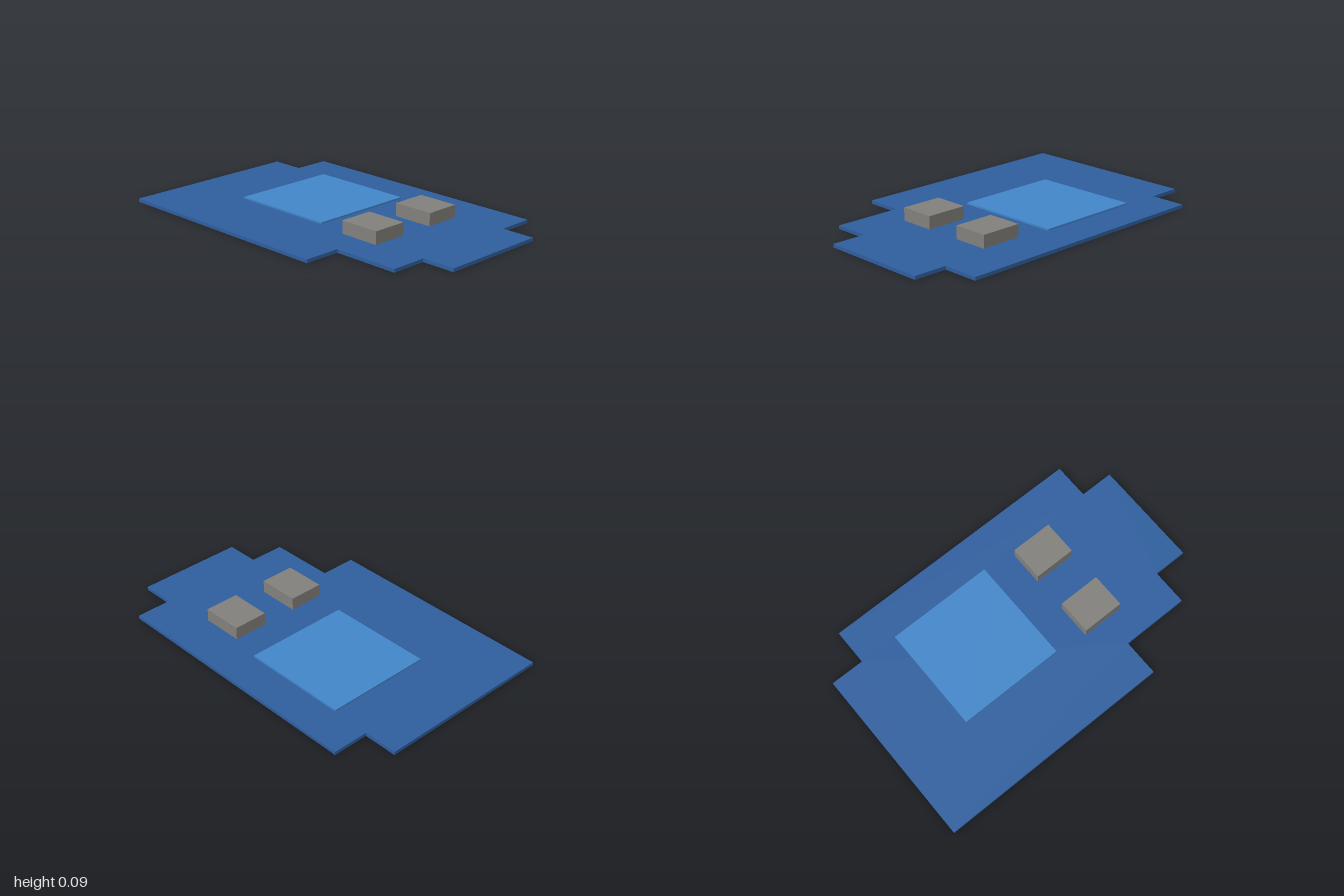
import * as THREE from 'three';

const material = (color) => new THREE.MeshStandardMaterial({ color, flatShading: true });

// Box given by its extents along each axis
function block(name, [x0, x1], [y0, y1], [z0, z1], mat) {
  const mesh = new THREE.Mesh(new THREE.BoxGeometry(x1 - x0, y1 - y0, z1 - z0), mat);
  mesh.position.set((x0 + x1) / 2, (y0 + y1) / 2, (z0 + z1) / 2);
  mesh.name = name;
  return mesh;
}

export function createModel() {
  const model = new THREE.Group();
  model.name = 'steppedSlab';
  const slabTop = 0.02;

  // Base slab with stepped corners, outline as [x, z]
  const outline = [
    [-1, 0.64], [0.4, 0.64], [0.4, 0.425], [0.8, 0.425], [0.8, 0.213], [1, 0.213],
    [1, -0.427], [0.8, -0.427], [0.8, -0.64], [-0.8, -0.64], [-0.8, -0.427], [-1, -0.427],
  ];
  const shape = new THREE.Shape(outline.map(([x, z]) => new THREE.Vector2(x, -z)));
  const slabGeometry = new THREE.ExtrudeGeometry(shape, { depth: slabTop, bevelEnabled: false });
  slabGeometry.rotateX(-Math.PI / 2);
  const slab = new THREE.Mesh(slabGeometry, material(0x3060a0));
  slab.name = 'baseSlab';
  model.add(slab);

  // Thin raised panel, sunk slightly into the slab
  model.add(block('raisedPanel', [-0.575, 0.062], [0.005, 0.03], [-0.422, 0.212], material(0x4488cc)));

  // Pair of low blocks
  const grey = material(0x84827d);
  for (const [name, z] of [['backBlock', -0.383], ['frontBlock', 0.033]]) {
    model.add(block(name, [0.25, 0.498], [0.005, 0.095], [z, z + 0.207], grey));
  }
  return model;
}
